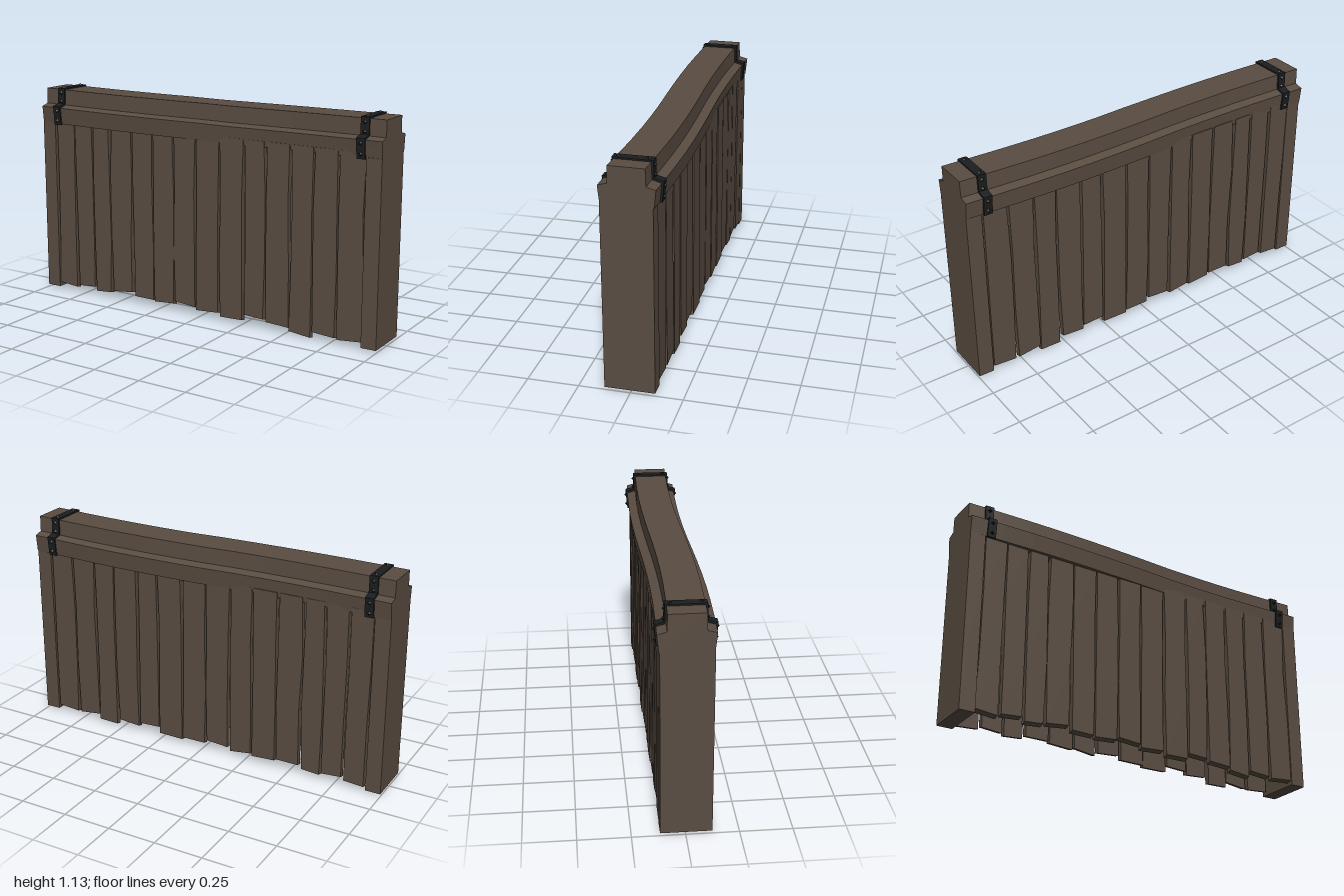
import * as THREE from 'three';

const wood = new THREE.MeshStandardMaterial({ color: 0x5a4d42, flatShading: true });
wood.name = 'dark wood';
const iron = new THREE.MeshStandardMaterial({ color: 0x1b1d1e, flatShading: true });
iron.name = 'black iron';

// Right half of the stepped beam outline, as [z, y] from bottom to top
const beamHalf = [[0.122, 0.935], [0.131, 1.022], [0.087, 1.034], [0.085, 1.116]];
const strapHalf = [[0.131, 0.93], [0.14, 1.03], [0.096, 1.041], [0.094, 1.123]];
const mirrorHalf = (half) => [...half, ...half.map(([z, y]) => [-z, y]).reverse()];

// Sideways warp of the beam along its length
const warp = (x) => -0.013 * Math.sin(Math.PI * x);

function seeded(seed) {
  let s = seed;
  return () => {
    s = (s * 16807) % 2147483647;
    return s / 2147483647;
  };
}

// Extrude a z-y outline along x, centred on x = 0
function extrudeAlongX(points, length, steps) {
  const shape = new THREE.Shape(points.map(([z, y]) => new THREE.Vector2(z, y)));
  const geo = new THREE.ExtrudeGeometry(shape, { depth: length, steps, bevelEnabled: false });
  return geo.translate(0, 0, -length / 2).rotateY(Math.PI / 2);
}

function addMesh(parent, name, geo, material) {
  const mesh = new THREE.Mesh(geo, material);
  mesh.name = name;
  parent.add(mesh);
  return mesh;
}

function makeBeam() {
  const geo = extrudeAlongX(mirrorHalf(beamHalf), 2, 12);
  const p = geo.attributes.position;
  for (let i = 0; i < p.count; i++) {
    const x = p.getX(i);
    p.setZ(i, p.getZ(i) + warp(x));
    p.setY(i, p.getY(i) - 0.006 * Math.sin((Math.PI * (x + 1)) / 2) * (x > 0 ? 1 : 0.6));
  }
  geo.computeVertexNormals();
  return geo;
}

// One uneven board: wobbling edges and a slanted lower end
function makePlank(x0, x1, bottom, rand) {
  const top = 0.96;
  const thick = 0.03;
  const rows = 3;
  const geo = new THREE.BoxGeometry(1, 1, thick, 1, rows, 1);
  const wobble = Array.from({ length: rows + 1 }, () => [rand() * 0.012, rand() * 0.012]);
  const slant = (rand() - 0.5) * 0.016;
  const face = 0.114 + rand() * 0.005;
  const p = geo.attributes.position;
  for (let i = 0; i < p.count; i++) {
    const t = p.getY(i) + 0.5;
    const row = Math.round(t * rows);
    const isRight = p.getX(i) > 0;
    const isInner = p.getZ(i) < 0;
    const x = isRight ? x1 - wobble[row][1] : x0 + wobble[row][0];
    let y = bottom + (top - bottom) * t;
    if (row === 0) y += (isRight ? slant : -slant) + (isInner ? -0.004 : 0.004);
    p.setXYZ(i, x, y, p.getZ(i) + face - thick / 2);
  }
  geo.computeVertexNormals();
  return geo;
}

function makeStrap(x) {
  const strap = new THREE.Group();
  const inner = beamHalf.map(([z, y]) => [z - 0.004, y - 0.004]);
  const outline = [...mirrorHalf(strapHalf), ...mirrorHalf(inner).reverse()];
  addMesh(strap, 'strapBand', extrudeAlongX(outline, 0.044, 1), iron);

  // Pointed rivets on the lower faces, upper faces and top
  for (const side of [1, -1]) {
    for (const [z, y] of [[0.134, 0.953], [0.138, 1.005], [0.096, 1.052], [0.095, 1.098], [0.07, 1.122]]) {
      const rivet = addMesh(strap, 'rivet', new THREE.OctahedronGeometry(0.011), iron);
      rivet.position.set(0, y, side * z);
    }
  }
  strap.position.set(x, 0, warp(x));
  return strap;
}

export function createModel() {
  const model = new THREE.Group();
  model.name = 'woodenWall';

  // End posts
  for (const side of [-1, 1]) {
    const post = addMesh(model, side > 0 ? 'leftPost' : 'rightPost', new THREE.BoxGeometry(0.08, 0.925, 0.242), wood);
    post.position.set(side * 0.96, 0.4775, 0.003);
  }

  // Two rows of boards with a hollow between them
  const edges = [-0.92, -0.795, -0.675, -0.56, -0.42, -0.285, -0.157, -0.02, 0.12, 0.26, 0.385, 0.522, 0.645, 0.78, 0.92];
  const bottoms = [0.03, 0.042, 0.03, 0.05, 0.038, 0.036, 0.05, 0.034, 0.024, 0.054, 0.038, 0.012, 0.034, 0.03];
  const rand = seeded(4711);
  const front = new THREE.Group();
  front.name = 'frontPlanks';
  const back = new THREE.Group();
  back.name = 'backPlanks';
  bottoms.forEach((bottom, i) => {
    addMesh(front, 'plank', makePlank(edges[i], edges[i + 1], bottom, rand), wood);
    // The back row is turned round, so its x range is reversed
    const plank = makePlank(-edges[i + 1], -edges[i], bottom, rand);
    addMesh(back, 'plank', plank, wood);
  });
  back.rotation.y = Math.PI;
  model.add(front, back);

  // Top beam and its iron straps
  addMesh(model, 'topBeam', makeBeam(), wood);
  for (const side of [-1, 1]) {
    const strap = makeStrap(side * 0.893);
    strap.name = side > 0 ? 'leftStrap' : 'rightStrap';
    model.add(strap);
  }
  return model;
}
